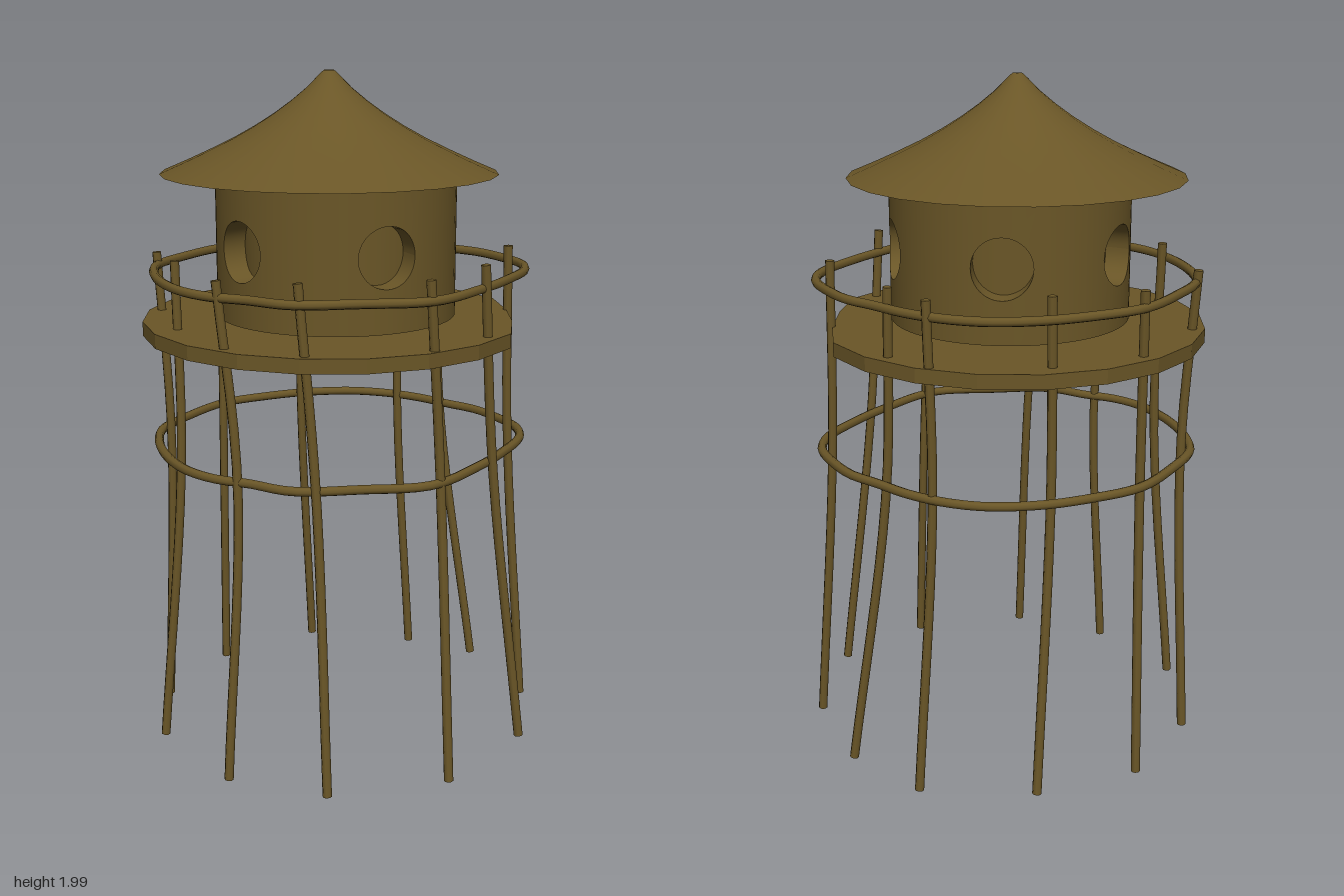
import * as THREE from 'three';

const wood = new THREE.MeshStandardMaterial({ color: 0x6a5627, side: THREE.DoubleSide });
wood.name = 'olive wood';

function add(parent, name, geometry, x = 0, y = 0, z = 0) {
  const mesh = new THREE.Mesh(geometry, wood);
  mesh.name = name;
  mesh.position.set(x, y, z);
  parent.add(mesh);
  return mesh;
}

// Grid surface from a rule (u, v) -> [x, y, z]
function surface(nu, nv, rule) {
  const pos = [], idx = [];
  for (let j = 0; j <= nv; j++)
    for (let i = 0; i <= nu; i++) pos.push(...rule(i / nu, j / nv));
  for (let j = 0; j < nv; j++)
    for (let i = 0; i < nu; i++) {
      const a = j * (nu + 1) + i, b = a + nu + 1;
      idx.push(a, a + 1, b, b, a + 1, b + 1);
    }
  const g = new THREE.BufferGeometry();
  g.setAttribute('position', new THREE.Float32BufferAttribute(pos, 3));
  g.setIndex(idx);
  g.computeVertexNormals();
  return g;
}

// Cabin dimensions
const R = 0.35, LOW = 1.30, HIGH = 1.71, WIN_Y = 1.513, WIN_R = 0.087;
const HALF = THREE.MathUtils.degToRad(17);
const windows = [-87, -12, 68.5, 141, 207].map(THREE.MathUtils.degToRad);

function rim(az, t) {
  const a = az + WIN_R / R * Math.cos(t);
  return [R * Math.sin(a), WIN_Y + WIN_R * Math.sin(t), R * Math.cos(a)];
}

// Curved wall panel with a round hole: rings blend from circle to rectangle
function windowPanel(az) {
  return surface(48, 4, (u, v) => {
    const t = u * Math.PI * 2, c = Math.cos(t), s = Math.sin(t);
    const k = 1 / Math.max(Math.abs(c), Math.abs(s));
    const edgeY = s * k * (s > 0 ? HIGH - WIN_Y : WIN_Y - LOW);
    const a = az + THREE.MathUtils.lerp(WIN_R / R * c, HALF * c * k, v);
    return [R * Math.sin(a), WIN_Y + THREE.MathUtils.lerp(WIN_R * s, edgeY, v), R * Math.cos(a)];
  });
}

// Round reveal running inwards from the hole
function windowReveal(az) {
  return surface(48, 1, (u, v) => {
    const p = rim(az, u * Math.PI * 2);
    return [p[0] - 0.09 * v * Math.sin(az), p[1], p[2] - 0.09 * v * Math.cos(az)];
  });
}

function buildCabin() {
  const cabin = new THREE.Group();
  cabin.name = 'cabin';
  cabin.position.set(-0.021, 0, -0.016);
  const mid = (LOW + HIGH) / 2, h = HIGH - LOW;
  windows.forEach((az, i) => {
    add(cabin, 'windowPanel', windowPanel(az));
    add(cabin, 'windowReveal', windowReveal(az));
    const next = i + 1 < windows.length ? windows[i + 1] : windows[0] + Math.PI * 2;
    add(cabin, 'wall', new THREE.CylinderGeometry(R, R, h, 8, 1, true, az + HALF, next - az - 2 * HALF), 0, mid, 0);
  });
  add(cabin, 'innerCore', new THREE.CylinderGeometry(0.28, 0.28, h - 0.02, 40), 0, mid, 0);
  add(cabin, 'cabinFloor', new THREE.CylinderGeometry(0.348, 0.348, 0.008, 40), 0, LOW + 0.004, 0);
  return cabin;
}

function buildRoof() {
  const roof = new THREE.Group();
  roof.name = 'roof';
  roof.position.set(-0.035, 0, -0.03);
  const profile = [[0.49, 1.71], [0.42, 1.74], [0.35, 1.772], [0.28, 1.806], [0.217, 1.841], [0.16, 1.877],
    [0.11, 1.913], [0.065, 1.95], [0.03, 1.985], [0.015, 1.999], [0, 2]].map(p => new THREE.Vector2(...p));
  add(roof, 'roofCone', new THREE.LatheGeometry(profile, 24));
  add(roof, 'roofUnderside', new THREE.CircleGeometry(0.49, 24), 0, 1.71, 0).rotation.set(Math.PI / 2, 0, Math.PI / 2);
  return roof;
}

// Twenty-sided deck with one corner trimmed at the front left
function buildPlatform() {
  const pts = [];
  for (let i = 0; i < 20; i++) {
    const a = THREE.MathUtils.degToRad(9 + 18 * i);
    const r = i === 1 || i === 2 ? 0.53 : 0.5625;
    pts.push(new THREE.Vector2(-0.021 + r * Math.cos(a), -(-0.032 + r * Math.sin(a))));
  }
  const g = new THREE.ExtrudeGeometry(new THREE.Shape(pts), { depth: 0.042, bevelEnabled: false });
  return g.rotateX(-Math.PI / 2);
}

// Hand-bent hoop outline (x, z)
const hoop = [[-0.08, -0.56], [0.08, -0.547], [0.22, -0.51], [0.347, -0.437], [0.425, -0.344], [0.475, -0.234],
  [0.503, -0.11], [0.527, -0.016], [0.522, 0.094], [0.494, 0.22], [0.425, 0.312], [0.284, 0.394], [0.138, 0.456],
  [-0.09, 0.512], [-0.262, 0.428], [-0.42, 0.33], [-0.48, 0.2], [-0.53, 0.115], [-0.553, 0], [-0.53, -0.156],
  [-0.466, -0.312], [-0.39, -0.416], [-0.262, -0.49]];

// Poles: bottom x, y, z; middle x, z; top x, y, z
const poles = [
  [-0.056, 0.03, 0.575, -0.05, 0.51, -0.09, 1.48, 0.505],
  [0.275, 0.045, 0.508, 0.19, 0.455, 0.14, 1.49, 0.462],
  [-0.388, 0.03, 0.44, -0.375, 0.375, -0.402, 1.48, 0.335],
  [0.5, 0.03, 0.27, 0.46, 0.22, 0.452, 1.48, 0.21],
  [-0.553, 0.025, 0.185, -0.498, 0.175, -0.525, 1.47, 0.127],
  [0.57, 0.035, -0.053, 0.485, -0.135, 0.482, 1.48, -0.16],
  [-0.562, 0.03, -0.16, -0.498, -0.128, -0.487, 1.48, -0.153],
  [0.49, 0.015, -0.29, 0.44, -0.303, 0.453, 1.47, -0.305],
  [-0.386, 0.01, -0.434, -0.38, -0.388, -0.392, 1.46, -0.422],
  [0.238, 0.03, -0.52, 0.175, -0.487, 0.18, 1.48, -0.492],
  [-0.09, 0.012, -0.566, -0.1, -0.535, -0.085, 1.47, -0.553],
];

function buildPole([bx, by, bz, mx, mz, tx, ty, tz]) {
  const pole = new THREE.Group();
  pole.name = 'pole';
  const ends = [new THREE.Vector3(bx, by, bz), new THREE.Vector3(tx, ty, tz)];
  const curve = new THREE.CatmullRomCurve3([ends[0], new THREE.Vector3(mx, 0.9, mz), ends[1]]);
  add(pole, 'poleShaft', new THREE.TubeGeometry(curve, 14, 0.0135, 8));
  // Caps closing both ends
  ends.forEach((p, i) => {
    const cap = add(pole, 'poleCap', new THREE.CircleGeometry(0.0135, 8), p.x, p.y, p.z);
    const dir = curve.getTangent(i).multiplyScalar(i ? 1 : -1);
    cap.quaternion.setFromUnitVectors(new THREE.Vector3(0, 0, 1), dir);
  });
  return pole;
}

export function createModel() {
  const model = new THREE.Group();
  model.name = 'watchtower';
  model.add(buildRoof(), buildCabin());
  add(model, 'platform', buildPlatform(), 0, 1.243, 0);

  // Upper handrail and lower brace share one outline
  const path = new THREE.CatmullRomCurve3(hoop.map(([x, z]) => new THREE.Vector3(x, 0, z)), true);
  const hoopGeometry = new THREE.TubeGeometry(path, 92, 0.0135, 8, true);
  add(model, 'handrail', hoopGeometry, 0, 1.423, 0);
  add(model, 'lowerBrace', hoopGeometry, 0, 0.91, 0);

  poles.forEach(p => model.add(buildPole(p)));
  return model;
}
